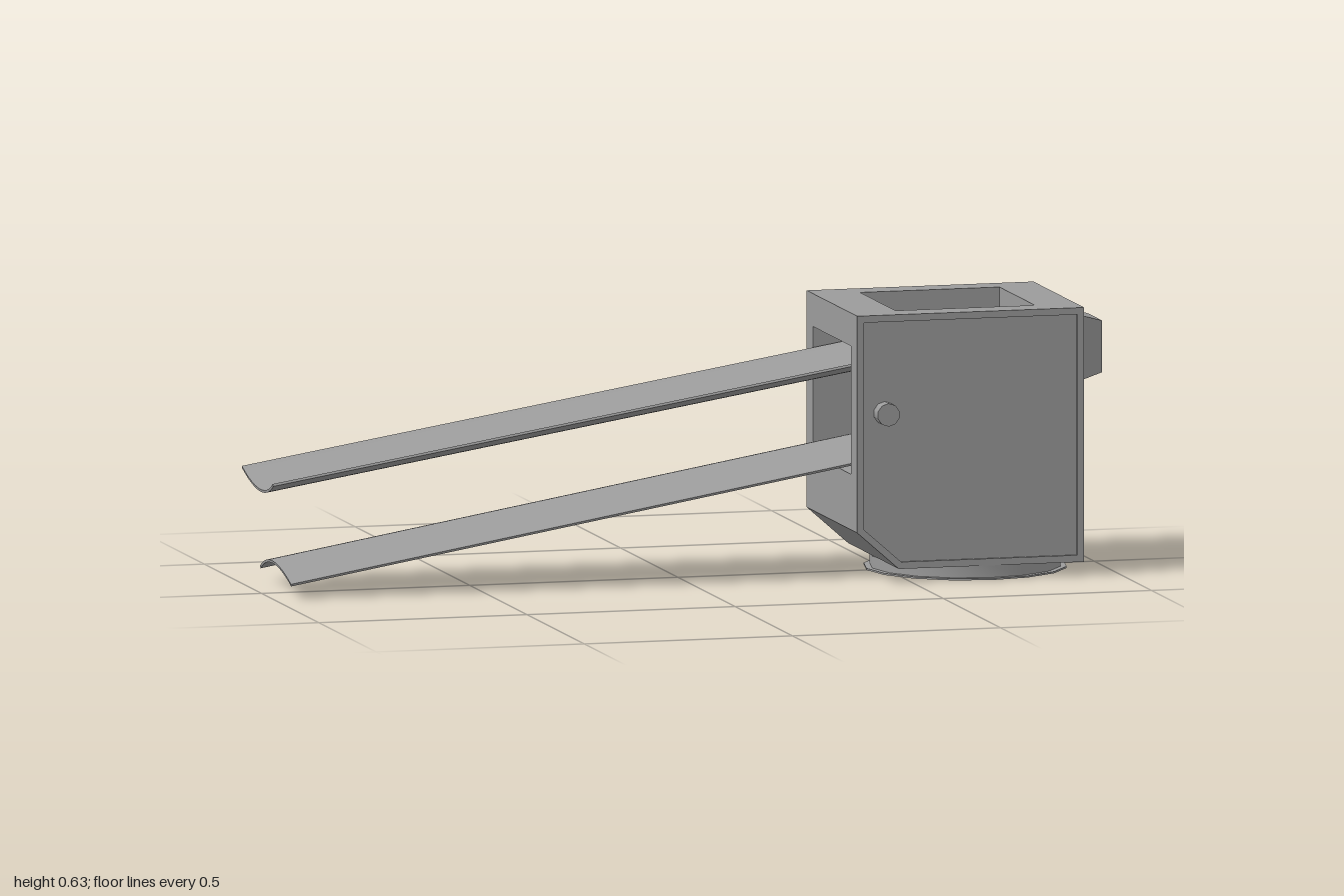
import * as THREE from 'three';
import { toCreasedNormals } from 'three/addons/utils/BufferGeometryUtils.js';

const material = new THREE.MeshStandardMaterial({ color: 0x9b9b9b, side: THREE.DoubleSide });

export function createModel() {
  const model = new THREE.Group();

  function add(name, geometry, x = 0, y = 0, z = 0) {
    const mesh = new THREE.Mesh(geometry, material);
    mesh.name = name;
    mesh.position.set(x, y, z);
    model.add(mesh);
    return mesh;
  }
  const poly = (pts) => new THREE.Shape(pts.map(([x, y]) => new THREE.Vector2(x, y)));
  const rect = (x0, x1, h) => poly([[x0, -h], [x1, -h], [x1, h], [x0, h]]);
  function extrude(shape, depth, hole) {
    if (hole) shape.holes.push(hole);
    return toCreasedNormals(new THREE.ExtrudeGeometry(shape, { depth, bevelEnabled: false, curveSegments: 20 }), 0.5);
  }
  // Horizontal slab from y0 to y1, outline given in x and z
  function slab(name, shape, y0, y1, hole) {
    return add(name, extrude(shape, y1 - y0, hole).rotateX(-Math.PI / 2), 0, y0);
  }

  // Housing sides: thick plate with a slim raised rim around a shallow panel
  const side = [[0.37, 0.12], [0.47, 0.032], [0.915, 0.032], [0.915, 0.627], [0.37, 0.627]];
  const inset = [[0.386, 0.127], [0.476, 0.048], [0.899, 0.048], [0.899, 0.611], [0.386, 0.611]];
  for (const s of [1, -1]) {
    const label = s > 0 ? 'front' : 'back';
    add(label + 'SidePlate', extrude(poly(side), 0.049), 0, 0, s > 0 ? 0.165 : -0.214);
    add(label + 'SideRim', extrude(poly(side), 0.007, poly(inset)), 0, 0, s > 0 ? 0.214 : -0.221);
    add(label + 'PivotPin', new THREE.CylinderGeometry(0.027, 0.027, 0.05, 10).rotateX(Math.PI / 2), 0.438, 0.397, s * 0.224);
  }

  // Top frame, end wall, floor and chamfered lower block with the rail window above it
  slab('topFrame', rect(0.37, 0.915, 0.21), 0.55, 0.627, rect(0.48, 0.815, 0.155));
  add('endWall', new THREE.BoxGeometry(0.1, 0.595, 0.42), 0.865, 0.3295, 0);
  slab('floor', rect(0.47, 0.915, 0.165), 0.032, 0.07, chuteOutline(0));
  const block = poly([[0.37, 0.12], [0.47, 0.032], [0.5, 0.032], [0.5, 0.25], [0.37, 0.25]]);
  add('lowerBlock', extrude(block, 0.33), 0, 0, -0.165);

  // Inner chute: bowed towards the rails, tapering towards the end wall
  function chuteOutline(t) {
    const s = new THREE.Shape();
    const a = Math.asin(0.15 / 0.232);
    s.absarc(0.749, 0, 0.232 + t, Math.PI - a, Math.PI + a, false);
    s.lineTo(0.79 + t, -0.135 - t);
    s.lineTo(0.79 + t, 0.135 + t);
    s.closePath();
    return s;
  }
  slab('innerChute', chuteOutline(0.008), 0.05, 0.53, chuteOutline(0));

  // Round base collar and its thin flange, sharing the chute's outlet
  function disc(r) {
    return poly(Array.from({ length: 16 }, (_, i) => {
      const a = i * Math.PI / 8;
      return [0.69 + r * Math.cos(a), r * Math.sin(a)];
    }));
  }
  slab('baseCollar', disc(0.223), 0.004, 0.032, chuteOutline(0));
  slab('baseFlange', disc(0.237), 0, 0.004, chuteOutline(0));

  // Tapered square stud on the end wall
  const stud = new THREE.CylinderGeometry(Math.SQRT1_2, Math.SQRT1_2, 0.085, 4, 1)
    .toNonIndexed().rotateY(Math.PI / 4).rotateZ(-Math.PI / 2);
  const p = stud.attributes.position;
  for (let i = 0; i < p.count; i++) {
    const outer = p.getX(i) > 0;
    p.setY(i, p.getY(i) * (outer ? 0.121 : 0.17));
    p.setZ(i, p.getZ(i) * (outer ? 0.12 : 0.158));
  }
  stud.computeVertexNormals();
  add('endStud', stud, 0.9575, 0.512, 0.009);

  // Long curved rails: upper is a trough, lower is an arch; inner ends follow the chute's bow
  function rail(name, bend, start, end) {
    const R = 0.38, a = Math.asin(0.156 / R), t = 0.006;
    const mid = -Math.PI / 2 * bend;
    const s = new THREE.Shape();
    s.absarc(0, bend * (R - 0.017), R, mid - a, mid + a, false);
    s.absarc(0, bend * (R - 0.017), R - t, mid + a, mid - a, true);
    s.closePath();
    const from = new THREE.Vector3(...start), to = new THREE.Vector3(...end);
    const geometry = extrude(s, from.distanceTo(to));
    const q = geometry.attributes.position;
    for (let i = 0; i < q.count; i++) {
      if (q.getZ(i) > 1) q.setZ(i, q.getZ(i) + 2.3 * q.getX(i) ** 2);
    }
    const mesh = add(name, geometry, ...start);
    mesh.lookAt(to);
  }
  rail('upperRail', 1, [-0.992, 0.248, -0.053], [0.517, 0.506, 0]);
  rail('lowerRail', -1, [-0.955, 0.05, -0.053], [0.517, 0.314, 0]);

  return model;
}
